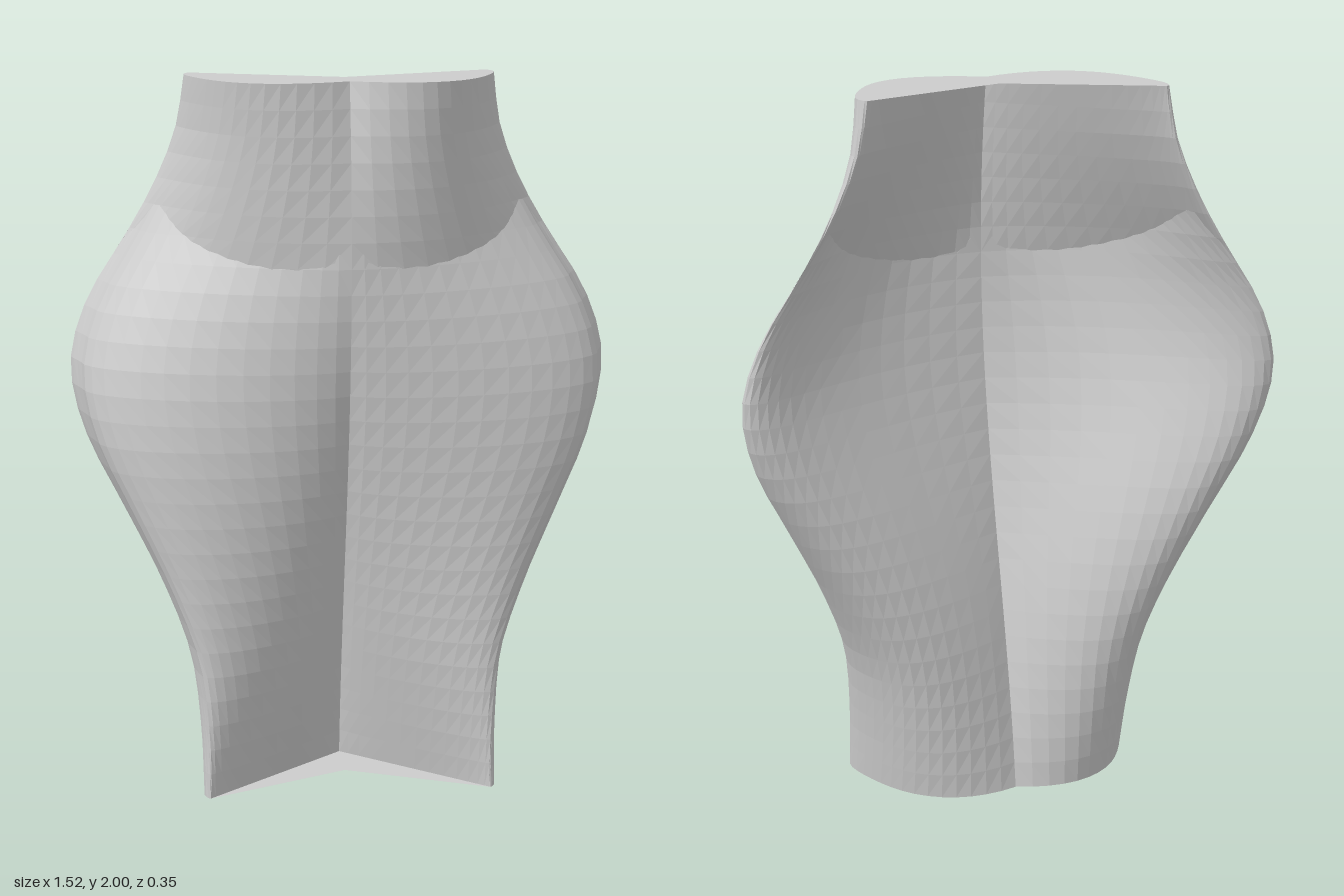
import * as THREE from 'three';

const DEPTH = 0.175;
const OUTER = 18; // facets of one half, from the centre line around to the corner
const INNER = 14; // facets from the corner back to the centre line
const ROWS = 28;

// smooth lookup through [position, value] pairs
function curve(points) {
  const n = points.length;
  const slope = points.map((p, i) => {
    const a = points[Math.max(i - 1, 0)], b = points[Math.min(i + 1, n - 1)];
    return (b[1] - a[1]) / (b[0] - a[0]);
  });
  return (t) => {
    let i = 0;
    while (i < n - 2 && t > points[i + 1][0]) i++;
    const h = points[i + 1][0] - points[i][0];
    const s = (t - points[i][0]) / h, s2 = s * s, s3 = s2 * s;
    return (2 * s3 - 3 * s2 + 1) * points[i][1] + (s3 - 2 * s2 + s) * h * slope[i]
      + (3 * s2 - 2 * s3) * points[i + 1][1] + (s3 - s2) * h * slope[i + 1];
  };
}

// half width of the body by height
const halfWidth = curve([[0, 0.415], [0.2, 0.42], [0.4, 0.445], [0.6, 0.52], [0.8, 0.62],
  [1, 0.72], [1.17, 0.76], [1.3, 0.74], [1.42, 0.685], [1.55, 0.6], [1.7, 0.515], [1.85, 0.455], [2, 0.43]]);

// sideways spread of one half: out to the corner, then straight back to the centre line
const spreadOut = curve([[0, 0], [0.2, 0.4], [0.39, 0.7], [0.54, 0.86], [0.7, 0.97], [0.82, 1], [1, 0.96]]);
const END = THREE.MathUtils.degToRad(150);
const spreadBack = (v) => 0.96 * (Math.cos(END * v) - Math.cos(END)) / (1 - Math.cos(END));

// point number i of the closed loop of one half (side is 1 or -1) at height y
function loopPoint(side, i, y) {
  const start = -120 - 97.5 * y; // the loop turns evenly with height
  const sweep = 210 + 7.5 * y;
  const u = i / OUTER, v = (i - OUTER) / INNER;
  const phase = i <= OUTER ? start + sweep * u : start + sweep + (360 - sweep) * v;
  const x = side * halfWidth(y) * (i <= OUTER ? spreadOut(u) : spreadBack(v));
  return [x, y, DEPTH * Math.sin(THREE.MathUtils.degToRad(phase))];
}

function makeMesh(name, positions, index) {
  const geometry = new THREE.BufferGeometry();
  geometry.setAttribute('position', new THREE.Float32BufferAttribute(positions, 3));
  geometry.setIndex(index);
  geometry.computeVertexNormals();
  const material = new THREE.MeshStandardMaterial({
    color: 0xcccccc, flatShading: true, side: THREE.DoubleSide,
  });
  const mesh = new THREE.Mesh(geometry, material);
  mesh.name = name;
  return mesh;
}

// one half of the body, its loop lofted from bottom to top
function makeHalf(name, side) {
  const positions = [], index = [], w = OUTER + INNER + 1;
  for (let r = 0; r <= ROWS; r++) {
    for (let c = 0; c < w; c++) positions.push(...loopPoint(side, c, (2 * r) / ROWS));
  }
  for (let r = 0; r < ROWS; r++) {
    for (let c = 0; c < w - 1; c++) {
      const a = r * w + c, b = a + 1, d = a + w, e = d + 1;
      if (side > 0) index.push(a, d, b, b, d, e);
      else index.push(a, b, d, b, e, d);
    }
  }
  // the loop runs outward along the back at the bottom, so its outside faces away from the axis
  for (let k = 0; k < index.length; k += 3) [index[k + 1], index[k + 2]] = [index[k + 2], index[k + 1]];
  return makeMesh(name, positions, index);
}

// flat end, fanned from the axis to the outer part of both loops
function makeEnd(name, y, up) {
  const positions = [0, y, 0], index = [];
  for (let c = -OUTER; c <= OUTER; c++) positions.push(...loopPoint(Math.sign(c), Math.abs(c), y));
  for (let c = 1; c <= 2 * OUTER; c++) index.push(0, up ? c : c + 1, up ? c + 1 : c);
  return makeMesh(name, positions, index);
}

export function createModel() {
  const group = new THREE.Group();
  group.name = 'twistedBody';
  group.add(makeHalf('leftHalf', 1), makeHalf('rightHalf', -1));
  group.add(makeEnd('topEnd', 2, true), makeEnd('bottomEnd', 0, true));
  return group;
}
